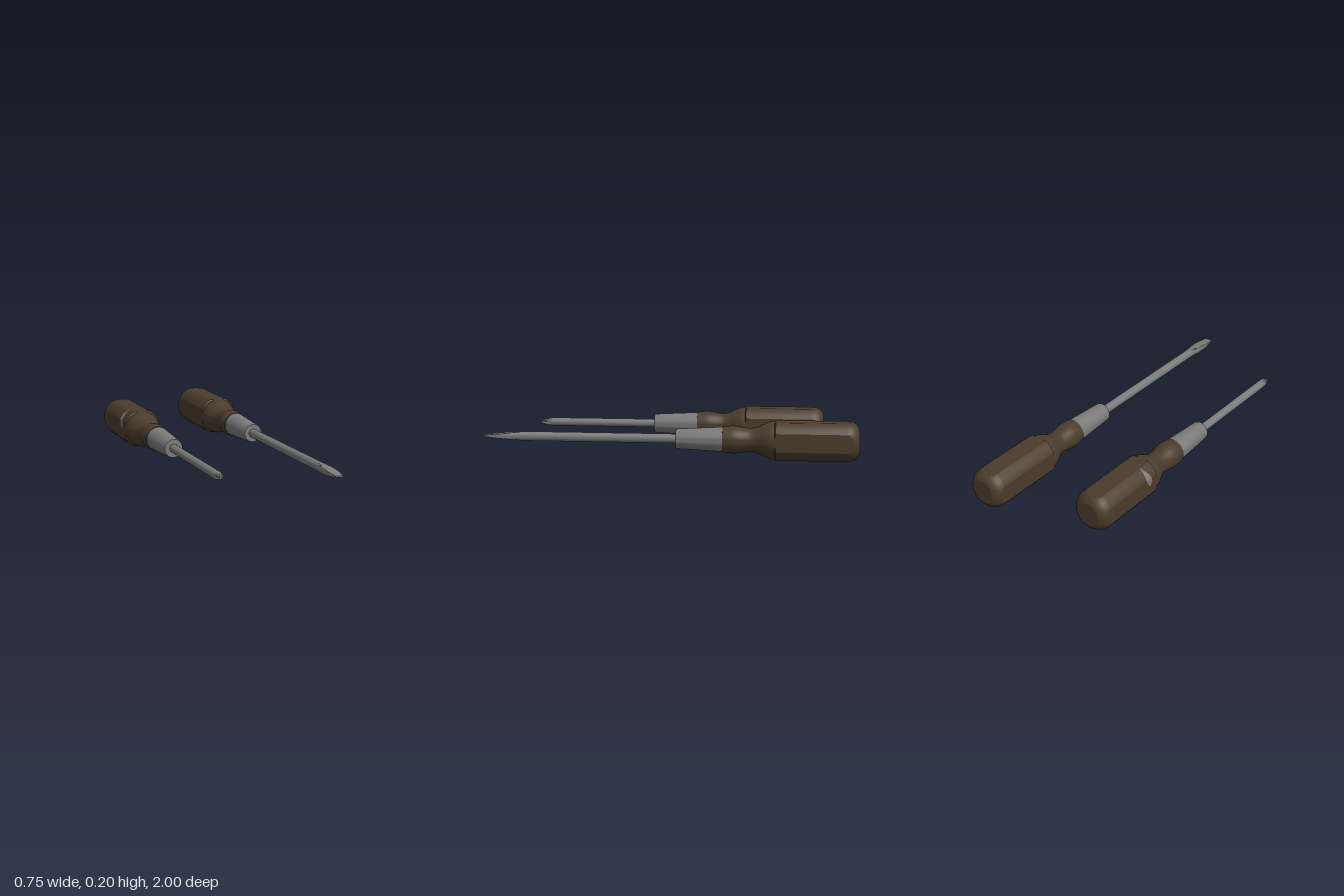
import * as THREE from 'three';
import { toCreasedNormals } from 'three/addons/utils/BufferGeometryUtils.js';

const wood = new THREE.MeshStandardMaterial({ color: 0x4b3c2b });
wood.name = 'dark brown handle';
const steel = new THREE.MeshStandardMaterial({ color: 0x7a7a7a });
steel.name = 'grey steel';

const clamp = THREE.MathUtils.clamp;

// Turned part along z from [radius, z] points; reshape may move each vertex.
function turned(name, material, points, segments, reshape, start = 0, sweep = Math.PI * 2) {
  const profile = points.map(([r, z]) => new THREE.Vector2(r, z));
  const geometry = new THREE.LatheGeometry(profile, segments, start, sweep);
  geometry.rotateX(Math.PI / 2);
  if (reshape) {
    const pos = geometry.attributes.position;
    const v = new THREE.Vector3();
    for (let i = 0; i < pos.count; i++) {
      v.fromBufferAttribute(pos, i);
      reshape(v);
      pos.setXYZ(i, v.x, v.y, v.z);
    }
  }
  const mesh = new THREE.Mesh(toCreasedNormals(geometry, 0.36), material);
  mesh.name = name;
  return mesh;
}

// Flats on the four sides of the grip
const flatten = (limit) => (v) => {
  v.x = clamp(v.x, -limit, limit);
  v.y = clamp(v.y, -limit, limit);
};

// Handle and ferrule, with the butt of the handle at z = 0
function grip() {
  const group = new THREE.Group();
  group.name = 'grip';
  const handle = turned('handle', wood, [
    [0, 0], [0.064, 0], [0.078, 0.006], [0.091, 0.017], [0.102, 0.032], [0.109, 0.05], [0.111, 0.065],
    [0.111, 0.435], [0.101, 0.441],
  ], 56, flatten(0.1));
  // Waisted neck, smoothed through a few radii
  const curve = new THREE.SplineCurve([
    [0.101, 0.44], [0.098, 0.465], [0.087, 0.495], [0.07, 0.53], [0.062, 0.565],
    [0.065, 0.6], [0.072, 0.64], [0.073, 0.67], [0.069, 0.714],
  ].map(([r, z]) => new THREE.Vector2(r, z)));
  const neckPoints = curve.getPoints(32).map((p) => [p.x, p.y]);
  const neck = turned('neck', wood, [...neckPoints, [0.06, 0.716]], 56);
  const ferrule = turned('ferrule', steel, [
    [0.06, 0.705], [0.066, 0.71], [0.053, 0.955], [0.05, 0.962], [0, 0.962],
  ], 48);
  group.add(handle, neck, ferrule);
  return group;
}

function slottedDriver() {
  const group = new THREE.Group();
  group.name = 'slottedScrewdriver';
  const handle = grip();
  handle.position.z = -1;
  const shaft = turned('slottedShaft', steel, [[0.025, -0.06], [0.025, 0.78]], 32);
  // Blade flares sideways while it thins to the edge
  const blade = turned('slottedBlade', steel, [
    [0.025, 0.78], [0.026, 0.81], [0.03, 0.85], [0.032, 0.885], [0.031, 0.92],
    [0.027, 0.96], [0.021, 1], [0, 1],
  ], 32, (v) => {
    const half = THREE.MathUtils.mapLinear(v.z, 0.78, 1, 0.025, 0.004);
    v.y = clamp(v.y, -half, half);
  });
  group.add(handle, shaft, blade);
  return group;
}

function crossDriver() {
  const group = new THREE.Group();
  group.name = 'crossScrewdriver';
  const handle = grip();
  handle.position.z = -0.82;
  const shaft = turned('crossShaft', steel, [[0.023, 0.12], [0.023, 0.74]], 32);
  // Four grooves deepen toward the point
  const tip = turned('crossTip', steel, [
    [0.023, 0.74], [0.023, 0.755], [0.022, 0.77], [0.019, 0.79], [0.012, 0.808], [0, 0.812],
  ], 32, (v) => {
    const depth = 0.45 * clamp((v.z - 0.74) / 0.05, 0, 1);
    const angle = Math.atan2(v.y, v.x);
    const s = 1 - depth * Math.pow(Math.abs(Math.cos(2 * angle)), 3);
    v.x *= s;
    v.y *= s;
  });
  // Worn patches on the handle
  const spot = new THREE.Mesh(new THREE.CircleGeometry(1, 10), steel);
  spot.name = 'wornSpot';
  spot.scale.set(0.045, 0.036, 1);
  spot.rotation.y = Math.PI / 2;
  spot.position.set(0.1015, -0.02, -0.61);
  const chip = turned('wornChip', steel, [[0.1125, -0.47], [0.1125, -0.43]], 14, (v) => {
    flatten(0.1015)(v);
    const width = Math.sin(Math.PI * clamp((v.y + 0.005) / 0.105, 0.05, 0.95));
    v.z = -0.45 + (v.z + 0.45) * width - 0.2 * (v.y - 0.05);
  }, Math.PI + 0.45, Math.PI / 2 - 0.45);
  group.add(handle, shaft, tip, spot, chip);
  return group;
}

export function createModel() {
  const model = new THREE.Group();
  model.name = 'screwdriverPair';
  const slotted = slottedDriver();
  slotted.position.set(0.27, 0.1, 0);
  const cross = crossDriver();
  cross.position.set(-0.273, 0.1, 0);
  model.add(slotted, cross);
  return model;
}
